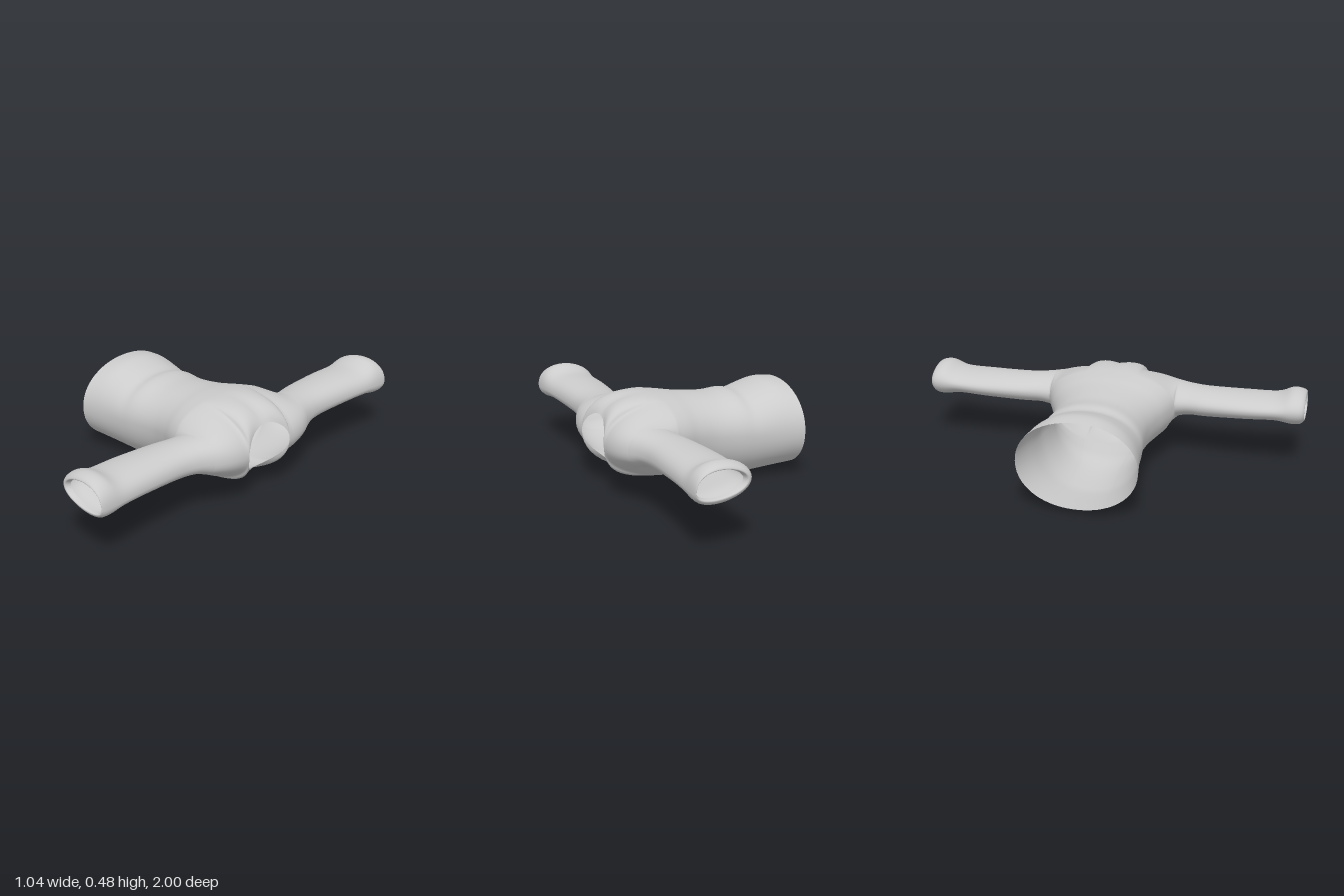
import * as THREE from 'three';
import { mergeVertices } from 'three/addons/utils/BufferGeometryUtils.js';

const SEAM = 0.2;      // x where the torso becomes the yoke
const ARM = 0.335;     // half width of the garment at the armpit
const NECK = 0.145;    // half width of the neck opening
const STEPS = 20;      // points across the yoke and sleeves
const mix = THREE.MathUtils.lerp;

// Torso stations: x, half width, top y, side y, bottom y
const TORSO = [
  [-0.518, 0.30, 0.470, 0.25, 0.025],
  [-0.43, 0.285, 0.477, 0.25, 0.017],
  [-0.34, 0.27, 0.456, 0.25, 0.008],
  [-0.27, 0.262, 0.436, 0.25, 0.003],
  [-0.21, 0.257, 0.445, 0.255, 0.005],
  [-0.12, 0.247, 0.440, 0.26, 0.012],
  [-0.03, 0.249, 0.447, 0.27, 0.025],
  [0.06, 0.272, 0.457, 0.285, 0.047],
  [0.13, 0.303, 0.469, 0.3, 0.056],
  [SEAM, ARM, 0.478, 0.31, 0.063],
];

// Sleeve stations: z, lower edge x and y, upper edge x and y, top y, bottom y
// (the last one folds the cuff inward)
const SLEEVE = [
  [ARM, 0.2, 0.31, 0.475, 0.29, 0.395, 0.215],
  [0.4, 0.198, 0.315, 0.45, 0.295, 0.39, 0.235],
  [0.5, 0.18, 0.32, 0.435, 0.3, 0.387, 0.24],
  [0.7, 0.165, 0.325, 0.44, 0.3, 0.388, 0.25],
  [0.85, 0.168, 0.33, 0.45, 0.3, 0.39, 0.255],
  [0.93, 0.165, 0.335, 0.455, 0.3, 0.42, 0.24],
  [0.98, 0.175, 0.335, 0.455, 0.3, 0.415, 0.242],
  [1.0, 0.2, 0.335, 0.45, 0.305, 0.397, 0.265],
  [0.975, 0.215, 0.335, 0.44, 0.305, 0.39, 0.272],
];

// Smoothly subdivide a table of stations
function refine(keys, n) {
  const out = [];
  const at = (i) => keys[Math.min(Math.max(i, 0), keys.length - 1)];
  for (let i = 0; i < keys.length - 1; i++) {
    for (let j = 0; j < n; j++) {
      const t = j / n;
      out.push(keys[i].map((b, k) => {
        const a = at(i - 1)[k], c = at(i + 1)[k], d = at(i + 2)[k];
        return b + 0.5 * t * (c - a + t * (2 * a - 5 * b + 4 * c - d + t * (3 * (b - c) + d - a)));
      }));
    }
  }
  out.push(keys[keys.length - 1]);
  return out;
}

// Height of a torso ring at fraction f of its half width
function ringY([, , top, side, bottom], f, s) {
  const h = Math.pow(Math.max(0, 1 - Math.pow(Math.abs(f), 2.1)), 1 / 2.1);
  return mix(side, s > 0 ? top : bottom, h);
}

// Bezier control points (x, y) of a sleeve section; s = 1 upper, -1 lower half
function sleeveCurve([, xl, yl, xr, yr, top, bottom], s) {
  const mid = (yl + yr) / 2;
  const rise = ((s > 0 ? top : bottom) - mid) / 0.75;
  return [[xl, yl], [xl, mid + rise * 0.8], [xr, mid + rise * 1.2], [xr, yr]];
}

// Bezier control points of a yoke section, from the torso seam to neck or shoulder
function yokeCurve(z, s) {
  const a = Math.abs(z), w = a / ARM, k = Math.min(1, a / NECK);
  const out = Math.max(0, (a - NECK) / (ARM - NECK));
  const edge = sleeveCurve(SLEEVE[0], s);
  const y0 = ringY(TORSO[TORSO.length - 1], w, s);
  const x3 = a < NECK ? mix(s > 0 ? 0.48 : 0.44, 0.52, k * k) : mix(0.52, 0.475, out ** 2.5);
  const y3 = mix(0.275, 0.29, out) + s * 0.12 * Math.sqrt(Math.max(0, 1 - k * k));
  const dy = s > 0 ? mix(0.075, 0.14, k) : mix(-0.035, -0.13, k);
  return [
    [SEAM, y0],
    [mix(SEAM + 0.09, edge[1][0], w ** 4), mix(y0 + (s > 0 ? 0.012 : 0.005), edge[1][1], w ** 6)],
    [x3 - 0.06 * (1 - k), mix(y3 + dy, edge[2][1], out)],
    [x3, y3],
  ];
}

function bezier(p, t) {
  const u = 1 - t, b = [u * u * u, 3 * u * u * t, 3 * u * t * t, t * t * t];
  return [0, 1].map((c) => p.reduce((sum, q, i) => sum + q[c] * b[i], 0));
}

// Mirror a list of positive columns to both sides of z = 0
const mirrored = (list) => [...list.slice(1).reverse().map((c) => ({ ...c, side: -1 })), ...list];

export function createModel() {
  const positions = [], indices = [];

  // Append a sheet: columns run toward +z, rows toward +x
  function sheet(columns, rows, point, s) {
    const base = positions.length / 3;
    columns.forEach((c) => {
      for (let r = 0; r < rows; r++) positions.push(...point(c, r));
    });
    for (let i = 0; i < columns.length - 1; i++) {
      for (let r = 0; r < rows - 1; r++) {
        const a = base + i * rows + r, b = a + rows;
        if (s > 0) indices.push(a, b, a + 1, b, b + 1, a + 1);
        else indices.push(a, a + 1, b, b, a + 1, b + 1);
      }
    }
  }

  // Columns across the body, denser at the neck corners and the armpits
  const body = [];
  for (let i = 0; i <= 8; i++) body.push({ side: 1, z: NECK * Math.sin((i / 16) * Math.PI) });
  for (let i = 1; i <= 10; i++) body.push({ side: 1, z: NECK + (ARM - NECK) * Math.sin((i / 20) * Math.PI) });
  const arms = refine(SLEEVE, 5).slice(1).map((key) => ({ side: 1, z: key[0], key }));

  // Torso: open tube from the hem to the seam
  const stations = refine(TORSO, 4);
  for (const s of [1, -1]) {
    sheet(mirrored(body), stations.length, (c, r) => {
      const f = c.z / ARM, st = stations[r];
      return [st[0], ringY(st, f, s), c.side * f * st[1]];
    }, s);
  }
  const split = indices.length;

  // Yoke and sleeves: upper and lower halves from cuff to cuff, open at the neck
  for (const s of [1, -1]) {
    sheet(mirrored([...body, ...arms]), STEPS + 1, (c, r) => {
      const curve = c.key ? sleeveCurve(c.key, s) : yokeCurve(c.z, s);
      const [x, y] = bezier(curve, r / STEPS);
      return [x, y, c.side * c.z];
    }, s);
  }

  // Weld the seams so the cloth shades smoothly across them
  let cloth = new THREE.BufferGeometry();
  cloth.setAttribute('position', new THREE.Float32BufferAttribute(positions, 3));
  cloth.setIndex(indices);
  cloth = mergeVertices(cloth, 1e-4);
  cloth.computeVertexNormals();

  const material = new THREE.MeshStandardMaterial({ color: 0xcccccc, side: THREE.DoubleSide });
  const welded = Array.from(cloth.index.array);
  const group = new THREE.Group();
  group.name = 'sweater';
  for (const [name, faces] of [['torso', welded.slice(0, split)], ['yokeAndSleeves', welded.slice(split)]]) {
    const geometry = cloth.clone();
    geometry.setIndex(faces);
    const mesh = new THREE.Mesh(geometry, material);
    mesh.name = name;
    group.add(mesh);
  }
  return group;
}
